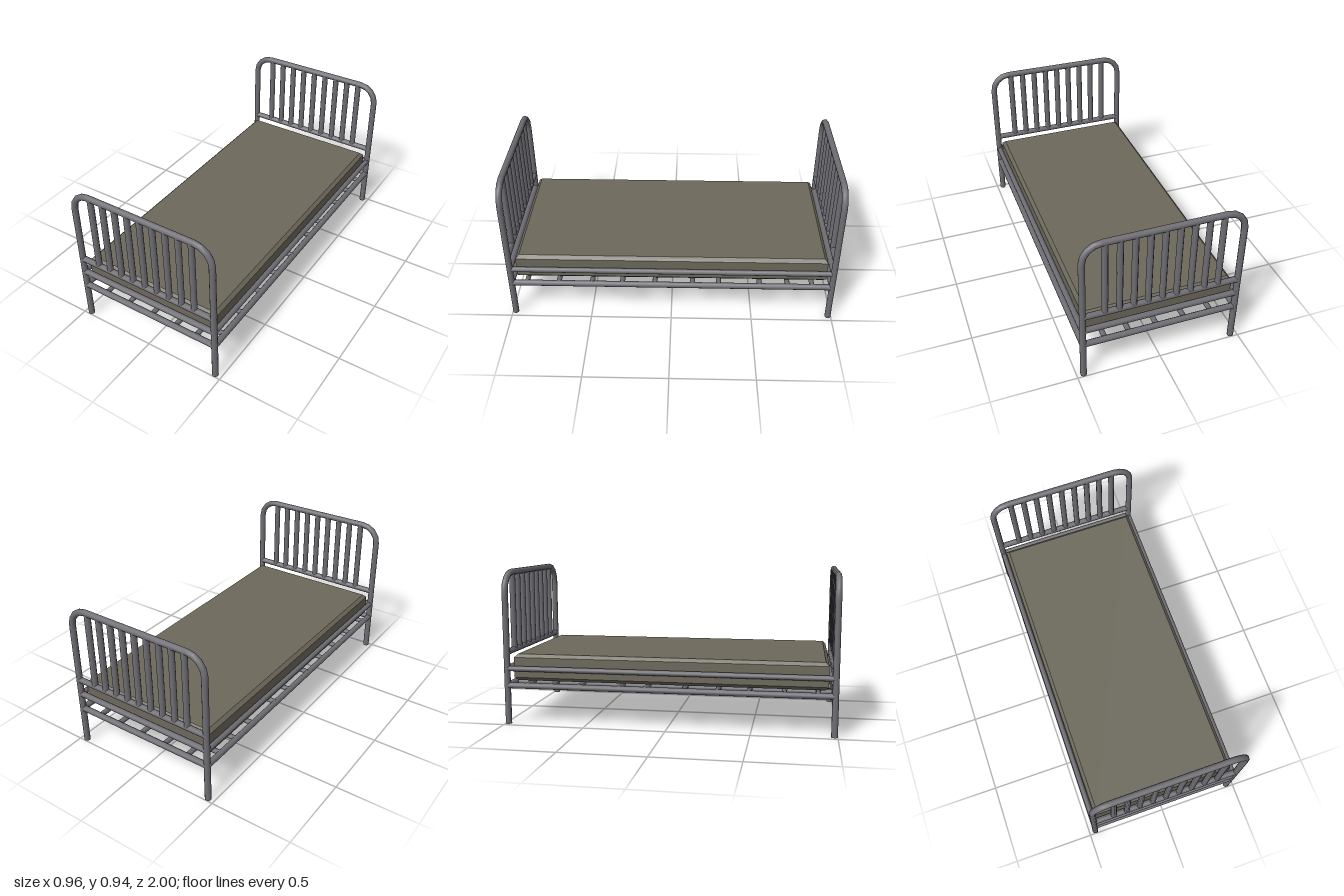
import * as THREE from 'three';

const HALF_W = 0.46, END_Z = 0.981, TUBE = 0.019;

// Straight capped tube between two points
function bar(name, a, b, radius, material) {
  const from = new THREE.Vector3(...a), to = new THREE.Vector3(...b);
  const mesh = new THREE.Mesh(
    new THREE.CylinderGeometry(radius, radius, from.distanceTo(to), 10), material);
  mesh.position.copy(from).add(to).multiplyScalar(0.5);
  mesh.quaternion.setFromUnitVectors(
    new THREE.Vector3(0, 1, 0), to.sub(from).normalize());
  mesh.name = name;
  return mesh;
}

// Capped tube bent along a planar path: each ring of a cylinder moves to a path point
function bentTube(path, radius) {
  const n = path.length - 1;
  const geo = new THREE.CylinderGeometry(radius, radius, 1, 12, n);
  const pos = geo.attributes.position, nor = geo.attributes.normal;
  for (let v = 0; v < pos.count; v++) {
    const i = Math.round((0.5 - pos.getY(v)) * n);
    const k = n - i;
    const t = path[Math.min(k + 1, n)].clone().sub(path[Math.max(k - 1, 0)]).normalize();
    const x = pos.getX(v), nx = nor.getX(v), ny = nor.getY(v);
    pos.setXY(v, path[k].x + t.y * x, path[k].y - t.x * x);
    nor.setXY(v, t.y * nx + t.x * ny, -t.x * nx + t.y * ny);
  }
  return geo;
}

// Arched post frame with rails and spindles
function endPanel(name, z, metal) {
  const panel = new THREE.Group();
  panel.name = name;
  panel.position.z = z;

  const R = 0.11, topY = 0.922, cx = HALF_W - R, cy = topY - R;
  const path = [new THREE.Vector2(HALF_W, 0), new THREE.Vector2(HALF_W, cy - 0.03)];
  for (const [side, start] of [[1, 0], [-1, Math.PI / 2]]) {
    for (let i = 0; i <= 4; i++) {
      const a = start + i * Math.PI / 8;
      path.push(new THREE.Vector2(side * cx + R * Math.cos(a), cy + R * Math.sin(a)));
    }
  }
  path.push(new THREE.Vector2(-HALF_W, cy - 0.03), new THREE.Vector2(-HALF_W, 0));
  const arch = new THREE.Mesh(bentTube(path, TUBE), metal);
  arch.name = 'archedPosts';
  panel.add(arch);

  for (const y of [0.238, 0.342, 0.442]) {
    panel.add(bar('endRail', [-HALF_W, y, 0], [HALF_W, y, 0], 0.0185, metal));
  }
  for (let i = -4; i <= 4; i++) {
    panel.add(bar('spindle', [i * 0.0835, 0.442, 0], [i * 0.0835, topY, 0], 0.0185, metal));
  }
  return panel;
}

export function createModel() {
  const metal = new THREE.MeshStandardMaterial({ color: 0x6d6d73 });
  metal.name = 'grey metal';
  const fabric = new THREE.MeshStandardMaterial({ color: 0x6c685b });
  fabric.name = 'olive fabric';

  const bed = new THREE.Group();
  bed.name = 'bed';
  bed.add(endPanel('headboard', -END_Z, metal), endPanel('footboard', END_Z, metal));

  // Side rails
  for (const s of [-1, 1]) {
    bed.add(bar('lowerSideRail', [s * HALF_W, 0.238, -END_Z], [s * HALF_W, 0.238, END_Z], 0.0185, metal));
    bed.add(bar('upperSideRail', [s * HALF_W, 0.342, -END_Z], [s * HALF_W, 0.342, END_Z], 0.0165, metal));
  }

  // Lattice under the mattress
  for (const x of [-0.315, -0.15, 0.02, 0.185, 0.328]) {
    bed.add(bar('longSlat', [x, 0.233, -END_Z], [x, 0.233, END_Z], 0.0155, metal));
  }
  for (const z of [0.885, 0.69, 0.485, 0.3, 0.1, -0.13, -0.29, -0.54, -0.71, -0.86]) {
    bed.add(bar('crossSlat', [-HALF_W, 0.242, z], [HALF_W, 0.242, z], 0.0155, metal));
  }

  // Mattress with chamfered top and bottom edges
  const hw = 0.443, hl = 0.943, bevel = 0.02, low = 0.265, high = 0.428;
  const outline = new THREE.Shape([[-1, -1], [1, -1], [1, 1], [-1, 1]].map(
    ([x, y]) => new THREE.Vector2(x * (hw - bevel), y * (hl - bevel))));
  const geo = new THREE.ExtrudeGeometry(outline, {
    depth: high - low - 2 * bevel, bevelEnabled: true,
    bevelSize: bevel, bevelThickness: bevel, bevelSegments: 1,
  });
  geo.rotateX(-Math.PI / 2);
  geo.translate(0, low + bevel, 0);
  const mattress = new THREE.Mesh(geo, fabric);
  mattress.name = 'mattress';
  bed.add(mattress);

  return bed;
}
